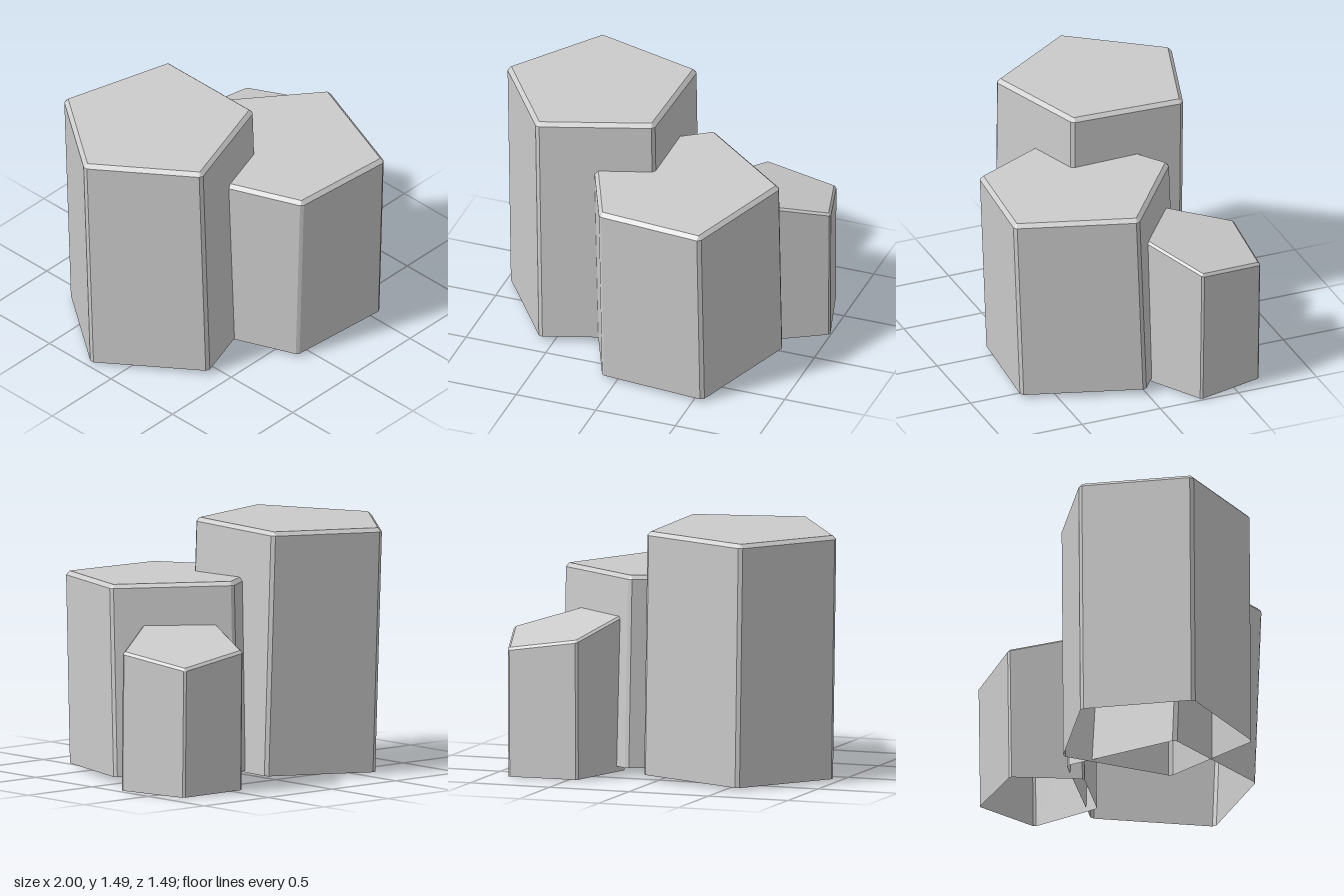
import * as THREE from 'three';

// Each column: top-face corners [x, z] clockwise from above, bevel width,
// lean (top minus bottom), and top / bottom planes y = c + a*x + b*z.
const columns = [
  {
    name: 'tallColumn', bevel: 0.023, lean: [-0.03, -0.025],
    corners: [[-0.98, -0.21], [-0.6, -0.73], [0.04, -0.53], [0.03, 0.14], [-0.6, 0.34]],
    top: [1.494, 0.02, 0.017], bottom: [0.043, 0.02, 0.017],
  },
  {
    name: 'middleColumn', bevel: 0.023, lean: [-0.005, 0.04],
    corners: [[-0.36, 0.03], [0.23, -0.36], [0.78, 0.06], [0.54, 0.72], [-0.08, 0.67]],
    top: [1.182, 0, -0.025], bottom: [0.043, 0, -0.025],
  },
  {
    name: 'shortColumn', bevel: 0.014, lean: [0, -0.01],
    corners: [[0.31, -0.3], [0.45, -0.695], [0.87, -0.68], [0.985, -0.28], [0.635, -0.06]],
    top: [1.06, -0.165, 0.21], bottom: [0.03, -0.012, 0.022],
  },
];

const planeHeight = ([c, a, b], p) => c + a * p.x + b * p.y;

// Nearest point to p on the line a-b
function project(p, a, b) {
  const dir = b.clone().sub(a).normalize();
  return a.clone().addScaledVector(dir, p.clone().sub(a).dot(dir));
}

// Pentagonal prism with an open base and bevelled top and upright edges
function columnGeometry({ corners, bevel, lean, top, bottom }) {
  const n = corners.length;
  const inner = corners.map(([x, z]) => new THREE.Vector2(x, z));
  const centre = inner.reduce((s, p) => s.add(p), new THREE.Vector2()).divideScalar(n);
  const apothem = project(centre, inner[0], inner[1]).distanceTo(centre);
  const outer = inner.map(p => p.clone().sub(centre).multiplyScalar(1 + bevel / apothem).add(centre));

  // Two wall points for each corner, one on each adjoining wall
  const ring = inner.flatMap((p, i) => [
    project(p, outer[(i + n - 1) % n], outer[i]),
    project(p, outer[i], outer[(i + 1) % n]),
  ]);
  const cap = inner.map(p => new THREE.Vector3(p.x, planeHeight(top, p), p.y));
  const upper = ring.map(p => new THREE.Vector3(p.x, planeHeight(top, p) - bevel, p.y));
  const lower = ring.map(p => new THREE.Vector3(p.x - lean[0], planeHeight(bottom, p), p.y - lean[1]));

  const points = [];
  const tri = (a, b, c) => points.push(a, b, c);
  const quad = (a, b, c, d) => { tri(a, b, c); tri(a, c, d); };

  for (let k = 0; k < 2 * n; k++) {
    const next = (k + 1) % (2 * n);
    const i = Math.floor(k / 2);
    // Wall or upright edge strip
    quad(lower[k], upper[k], upper[next], lower[next]);
    // Top bevel strip, or the small facet at a corner
    if (k % 2) quad(upper[k], cap[i], cap[(i + 1) % n], upper[next]);
    else tri(upper[k], cap[i], upper[next]);
  }
  // Top face
  for (let i = 1; i < n - 1; i++) tri(cap[0], cap[i + 1], cap[i]);

  const geometry = new THREE.BufferGeometry().setFromPoints(points);
  geometry.computeVertexNormals();
  return geometry;
}

export function createModel() {
  const group = new THREE.Group();
  group.name = 'rockColumns';
  const material = new THREE.MeshStandardMaterial({
    color: 0xcccccc, flatShading: true, side: THREE.DoubleSide,
  });
  for (const column of columns) {
    const mesh = new THREE.Mesh(columnGeometry(column), material);
    mesh.name = column.name;
    group.add(mesh);
  }
  return group;
}
